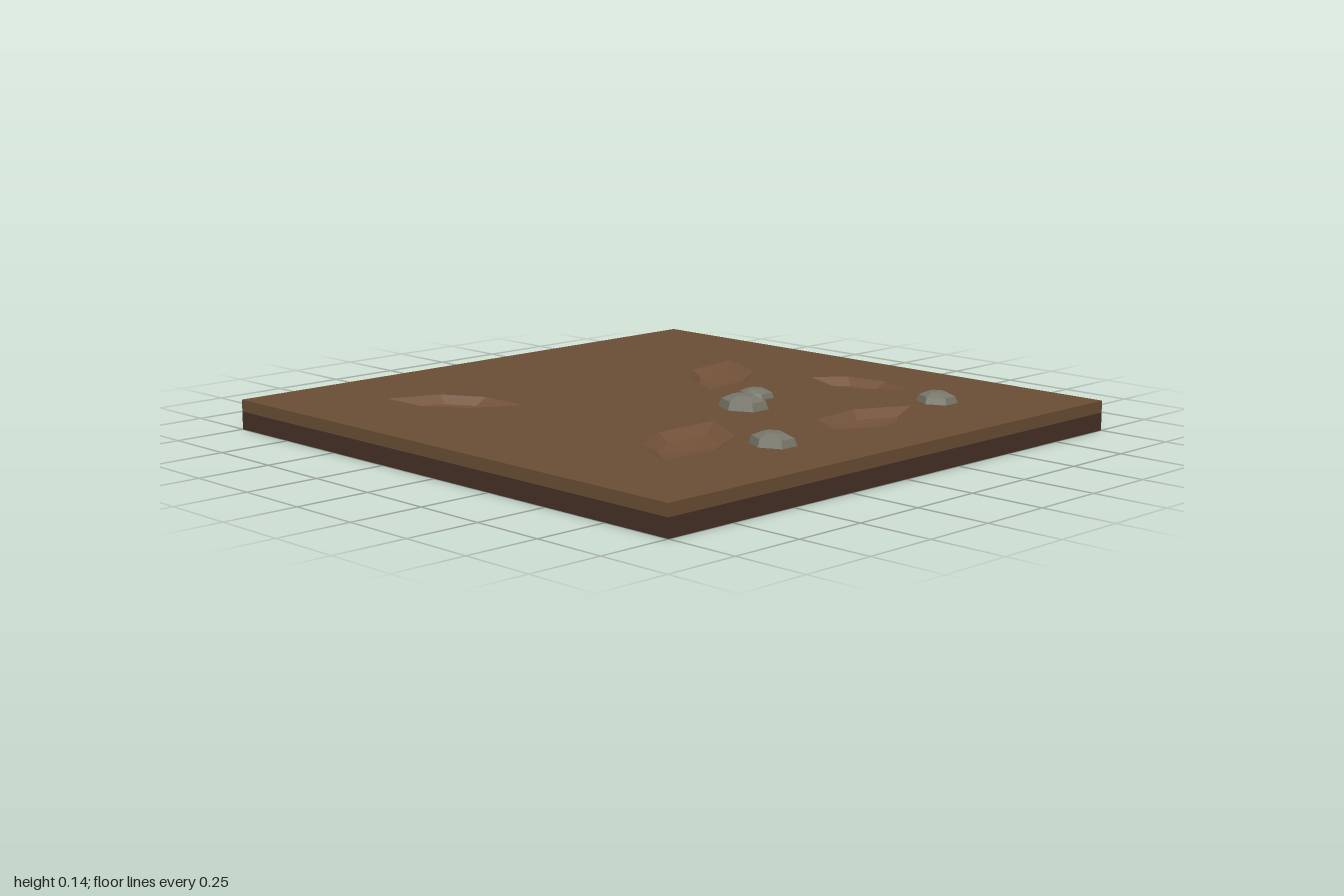
import * as THREE from 'three';

const SURFACE = 0.1, BED = 0.06;

const paint = (color) => new THREE.MeshStandardMaterial({ color, flatShading: true });

function add(parent, name, geometry, material) {
  const mesh = new THREE.Mesh(geometry, material);
  mesh.name = name;
  parent.add(mesh);
  return mesh;
}

// Joins rings of [x, y, z] from the rim inwards and closes them at a centre point.
// Rings run anticlockwise as seen from above.
function loftInwards(rings, centre) {
  const pos = [];
  const tri = (a, b, c) => pos.push(...a, ...b, ...c);
  rings.forEach((ring, r) => {
    const next = rings[r + 1];
    ring.forEach((a, i) => {
      const j = (i + 1) % ring.length;
      if (next) {
        tri(a, ring[j], next[j]);
        tri(a, next[j], next[i]);
      } else tri(a, ring[j], centre);
    });
  });
  const g = new THREE.BufferGeometry();
  g.setAttribute('position', new THREE.Float32BufferAttribute(pos, 3));
  g.computeVertexNormals();
  return g;
}

// Dent outlines as [x, z]
const dents = [
  [[-0.65, -0.68], [-0.65, -0.51], [-0.56, -0.37], [-0.40, -0.28], [-0.40, -0.47], [-0.48, -0.61]],
  [[0.66, -0.37], [0.44, -0.34], [0.31, -0.22], [0.22, -0.04], [0.42, -0.06], [0.58, -0.17]],
  [[0.63, 0.05], [0.565, 0.20], [0.59, 0.31], [0.69, 0.43], [0.75, 0.28], [0.73, 0.13]],
  [[-0.14, 0.33], [-0.38, 0.33], [-0.54, 0.42], [-0.66, 0.62], [-0.42, 0.63], [-0.25, 0.53]],
  [[0.49, 0.61], [0.31, 0.52], [0.11, 0.54], [-0.02, 0.66], [0.17, 0.76], [0.34, 0.74]],
];

// Shallow faceted hollow below the surface
function dentGeometry(outline) {
  const n = outline.length;
  const cx = outline.reduce((s, p) => s + p[0], 0) / n;
  const cz = outline.reduce((s, p) => s + p[1], 0) / n;
  const ring = (scale, y) => outline.map(([x, z]) => [cx + (x - cx) * scale, y, cz + (z - cz) * scale]);
  return loftInwards([ring(1, SURFACE), ring(0.7, SURFACE - 0.026)], [cx, SURFACE - 0.035, cz]);
}

// Six-sided pebble with a steep foot and a bevelled crown
function stoneGeometry(rx, rz, h) {
  const ring = (scale, y) => Array.from({ length: 6 }, (_, i) => {
    const a = (i * Math.PI) / 3;
    return [Math.cos(a) * rx * scale, y, (-Math.sin(a) * rz * scale) / Math.sin(Math.PI / 3)];
  });
  return loftInwards([ring(1, 0), ring(0.88, h * 0.6), ring(0.45, h * 0.96)], [0, h, 0]);
}

export function createModel() {
  const model = new THREE.Group();
  model.name = 'groundTile';
  const soil = paint(0x6a4e35), bed = paint(0x453127), hollow = paint(0x735239), stone = paint(0x77766a);

  // Dark lower layer
  add(model, 'lowerSoil', new THREE.BoxGeometry(2, BED, 2), bed).position.y = BED / 2;

  // Upper layer: four sides and a top pierced by the dents
  const topsoil = new THREE.Group();
  topsoil.name = 'topsoil';
  model.add(topsoil);
  const sides = new THREE.CylinderGeometry(Math.SQRT2, Math.SQRT2, SURFACE - BED, 4, 1, true);
  sides.rotateY(Math.PI / 4).translate(0, (SURFACE + BED) / 2, 0);
  add(topsoil, 'topsoilSides', sides, soil);

  const toShape = ([x, z]) => new THREE.Vector2(x, -z);
  const top = new THREE.Shape([[-1, 1], [1, 1], [1, -1], [-1, -1]].map(toShape));
  top.holes = dents.map((d) => new THREE.Path(d.map(toShape)));
  add(topsoil, 'topsoilSurface', new THREE.ShapeGeometry(top).rotateX(-Math.PI / 2).translate(0, SURFACE, 0), soil);

  // Hollows in the ground
  dents.forEach((d, i) => add(model, `dent${i + 1}`, dentGeometry(d), hollow));

  // Stones: x, z, half width, half depth, height
  [
    [0.08, 0.25, 0.072, 0.078, 0.045],
    [0.24, 0.155, 0.058, 0.055, 0.03],
    [-0.26, 0.695, 0.066, 0.07, 0.04],
    [0.60, 0.63, 0.06, 0.062, 0.036],
  ].forEach(([x, z, rx, rz, h], i) => {
    add(model, `stone${i + 1}`, stoneGeometry(rx, rz, h), stone).position.set(x, SURFACE, z);
  });

  return model;
}
